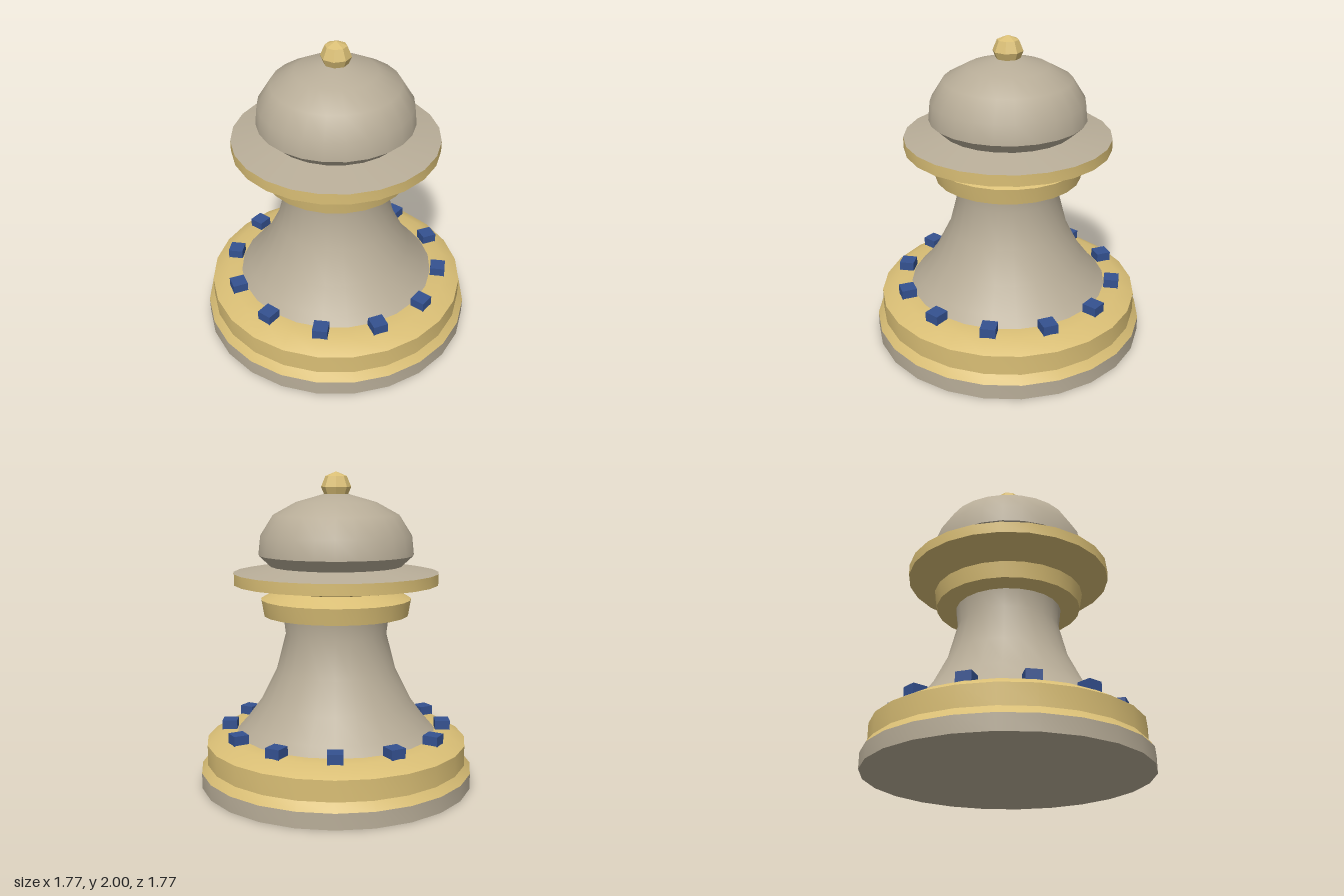
import * as THREE from 'three';
import { toCreasedNormals } from 'three/addons/utils/BufferGeometryUtils.js';

const material = (name, color) => {
  const m = new THREE.MeshStandardMaterial({ color });
  m.name = name;
  return m;
};

export function createModel() {
  const stone = material('warm grey stone', 0xb8ad98);
  const gold = material('pale gold', 0xd9be75);
  const blue = material('deep blue', 0x345190);
  const group = new THREE.Group();

  const add = (name, geometry, mat, parent = group) => {
    const mesh = new THREE.Mesh(geometry, mat);
    mesh.name = name;
    parent.add(mesh);
    return mesh;
  };

  // Turned part from [radius, height] pairs, listed bottom to top
  const turned = (name, profile, mat) => {
    const points = profile.map(([r, y]) => new THREE.Vector2(r, y));
    return add(name, toCreasedNormals(new THREE.LatheGeometry(points, 24), 0.66), mat);
  };

  // Base: grey foot and gold plinth
  turned('foot', [[0, 0], [0.885, 0], [0.885, 0.1]], stone);
  turned('plinth', [[0.885, 0.1], [0.845, 0.15], [0.845, 0.28], [0.74, 0.34], [0.6, 0.34]], gold);

  // Flared body
  turned('body', [[0.645, 0.34], [0.59, 0.4], [0.485, 0.54], [0.385, 0.74],
    [0.325, 0.97], [0.34, 1.09]], stone);

  // Neck ring and wide collar
  turned('neckRing', [[0.3, 1.085], [0.465, 1.098], [0.482, 1.2], [0.375, 1.258]], gold);
  turned('collar', [[0.375, 1.258], [0.655, 1.3], [0.655, 1.37]], gold);
  turned('collarTop', [[0.655, 1.37], [0.42, 1.41]], stone);

  // Domed head
  turned('head', [[0.42, 1.41], [0.495, 1.48], [0.482, 1.6], [0.4, 1.73],
    [0.255, 1.81], [0.08, 1.86], [0, 1.862]], stone);

  // Faceted finial
  const knob = new THREE.SphereGeometry(0.095, 8, 4).toNonIndexed();
  knob.computeVertexNormals();
  add('finial', knob, gold).position.y = 1.905;

  // Ring of twelve studs around the plinth
  const studs = new THREE.Group();
  studs.name = 'studs';
  group.add(studs);
  const studShape = new THREE.BoxGeometry(0.096, 0.065, 0.096);
  for (let i = 0; i < 12; i++) {
    const a = (i * Math.PI) / 6;
    const stud = add('stud', studShape, blue, studs);
    stud.position.set(Math.sin(a) * 0.695, 0.3655, Math.cos(a) * 0.695);
    stud.rotation.y = a;
  }
  return group;
}
